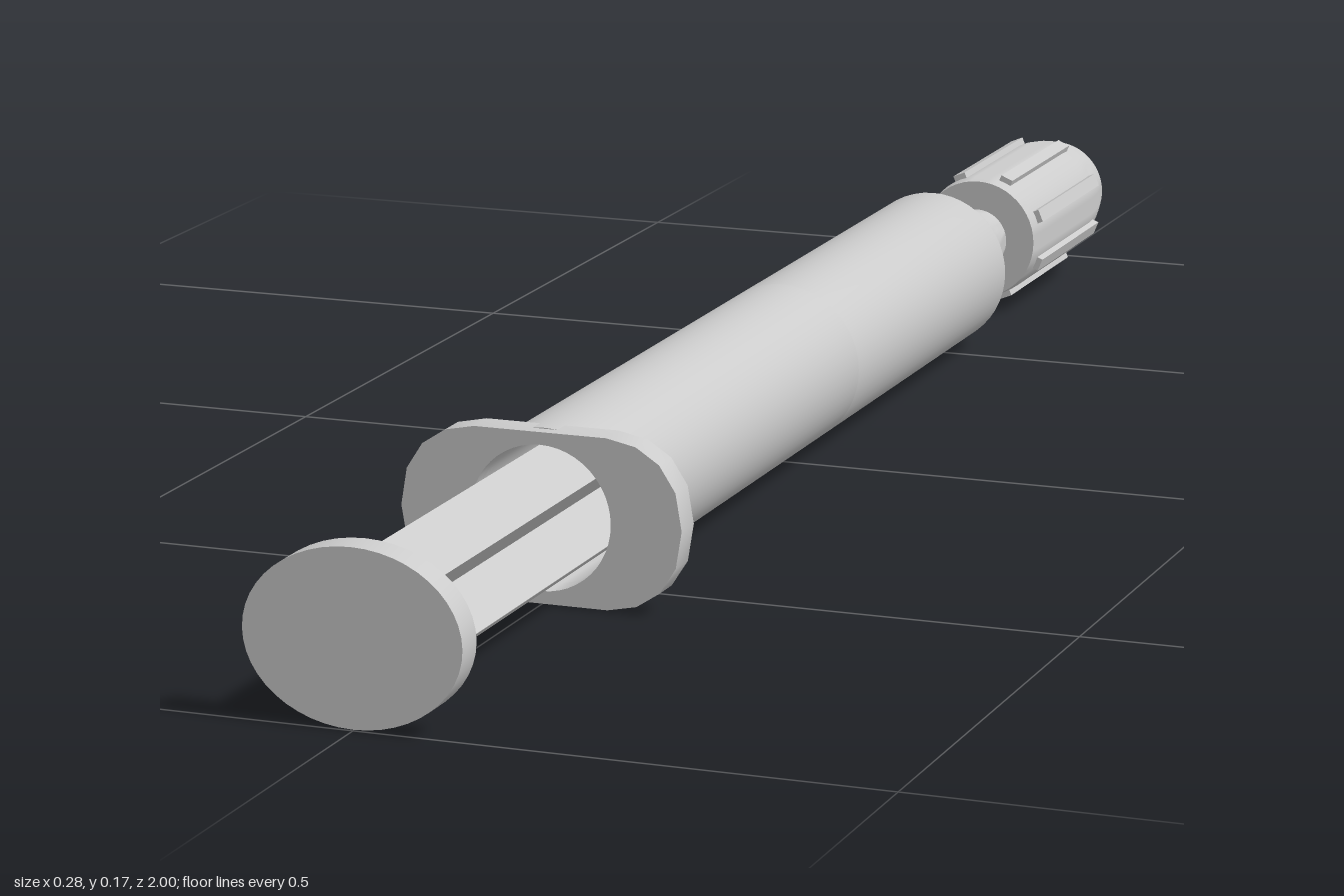
import * as THREE from 'three';
import { toCreasedNormals } from 'three/addons/utils/BufferGeometryUtils.js';

const AXIS_Y = 0.085;

export function createModel() {
  const model = new THREE.Group();
  model.name = 'syringe';
  const material = new THREE.MeshStandardMaterial({ color: 0xcccccc });

  const add = (name, geometry, parent = model) => {
    const mesh = new THREE.Mesh(geometry, material);
    mesh.name = name;
    parent.add(mesh);
    return mesh;
  };

  // Lathe along z; profile points are [radius, z], outer walls run towards -z
  const turned = (profile, sides = 48) => {
    const points = profile.map(([r, z]) => new THREE.Vector2(r, -z));
    const geometry = new THREE.LatheGeometry(points, sides);
    geometry.rotateX(-Math.PI / 2);
    return toCreasedNormals(geometry, 0.5);
  };

  // Flat plate with its back face at z
  const plate = (shape, z, depth) => {
    const geometry = new THREE.ExtrudeGeometry(shape, { depth, bevelEnabled: false, curveSegments: 24 });
    geometry.translate(0, 0, z);
    return toCreasedNormals(geometry, 0.6);
  };

  // Barrel: hollow front half, then rear half with shoulder and nozzle
  add('barrelFront', turned([[0.07, -0.07], [0.07, 0.56], [0.083, 0.56], [0.083, -0.07]]));
  add('barrelRear', turned([
    [0.083, -0.07], [0.083, -0.54], [0.076, -0.558], [0.058, -0.59],
    [0.051, -0.606], [0.042, -0.65], [0.032, -0.70], [0.028, -0.74], [0, -0.74],
  ]));

  // Finger flange: faceted oval with a hole for the plunger
  const corner = [[0.14, 0], [0.134, 0.036], [0.118, 0.061], [0.095, 0.076], [0.066, 0.082]];
  const outline = [
    ...corner,
    ...corner.slice(1).reverse().map(([x, y]) => [-x, y]),
    ...corner.map(([x, y]) => [-x, -y]),
    ...corner.slice(1).reverse().map(([x, y]) => [x, -y]),
  ];
  const flange = new THREE.Shape(outline.map(([x, y]) => new THREE.Vector2(x, y)));
  flange.holes.push(new THREE.Path().absarc(0, 0, 0.07, 0, Math.PI * 2, true));
  add('fingerFlange', plate(flange, 0.542, 0.031));

  // Plunger: diagonal cross-shaped rod, piston and oval thumb rest
  const plunger = new THREE.Group();
  plunger.name = 'plunger';
  model.add(plunger);
  for (const turn of [1, -1]) {
    const blade = add('plungerBlade', new THREE.BoxGeometry(0.116, 0.014, 1.0), plunger);
    blade.position.z = 0.475;
    blade.rotation.z = turn * Math.PI / 4;
  }
  add('piston', turned([[0, 0], [0.069, 0], [0.069, -0.06], [0, -0.06]]), plunger);
  const rest = new THREE.Shape().absellipse(0, 0, 0.104, 0.082, 0, Math.PI * 2);
  add('thumbRest', plate(rest, 0.969, 0.031), plunger);

  // Cap with a domed end and eight grip ribs
  const cap = new THREE.Group();
  cap.name = 'cap';
  model.add(cap);
  add('capBody', turned([
    [0.03, -0.72], [0.03, -0.693], [0.065, -0.693], [0.067, -0.71], [0.067, -0.90],
    [0.065, -0.925], [0.061, -0.95], [0.054, -0.979], [0.04, -0.99], [0.02, -0.998], [0, -1],
  ]), cap);
  for (let i = 0; i < 8; i++) {
    const angle = (i + 0.5) * Math.PI / 4;
    const rib = add('capRib', new THREE.BoxGeometry(0.011, 0.014, 0.205), cap);
    rib.position.set(Math.cos(angle) * 0.0675, Math.sin(angle) * 0.0675, -0.8125);
    rib.rotation.z = angle;
  }

  for (const child of model.children) child.position.y += AXIS_Y;
  return model;
}
